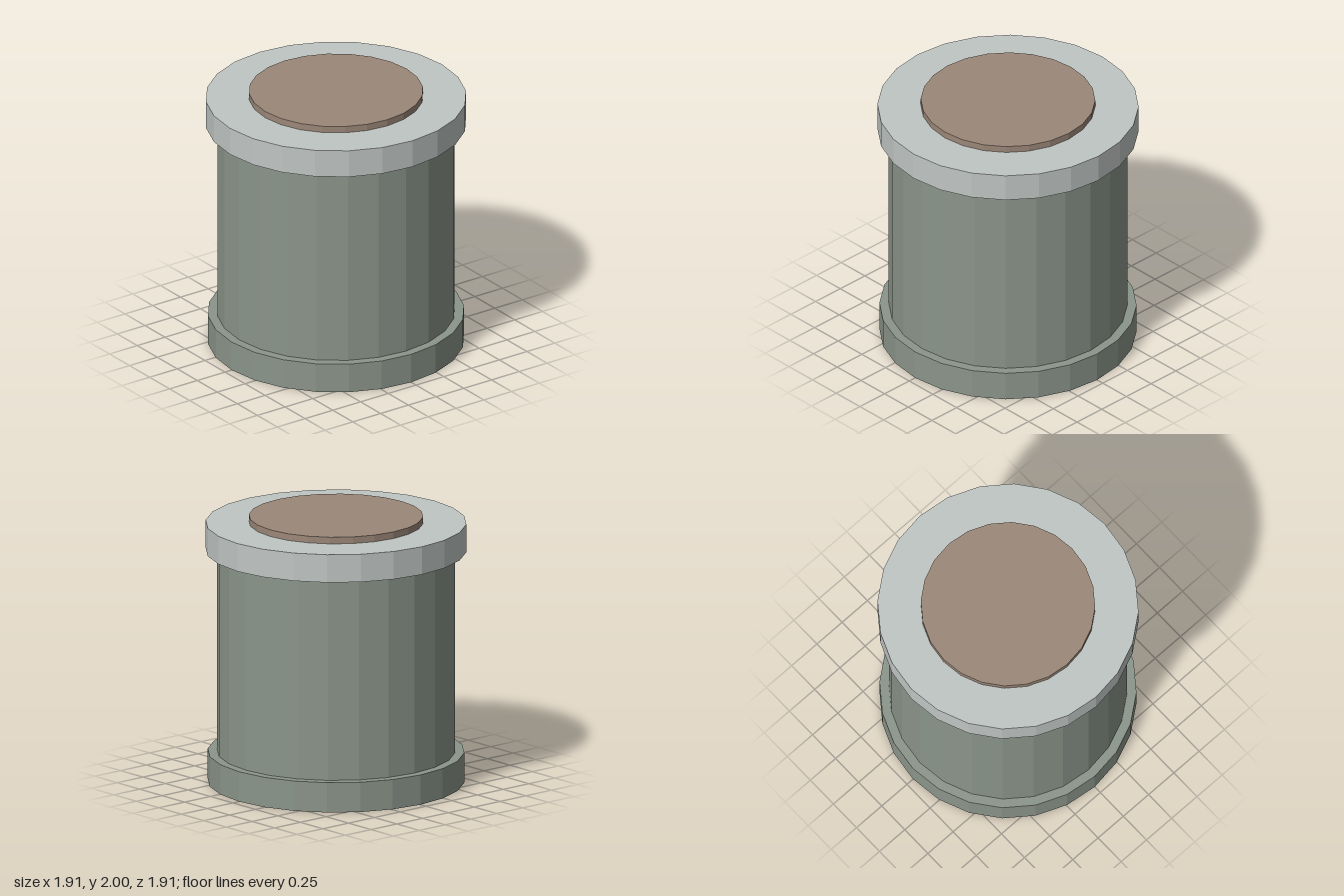
import * as THREE from 'three';

const SIDES = 24;

export function createModel() {
  const group = new THREE.Group();
  group.name = 'canister';

  const material = (name, color) => {
    const m = new THREE.MeshStandardMaterial({ color, flatShading: true });
    m.name = name;
    return m;
  };
  const greyGreen = material('grey green', 0x8b958b);
  const paleGrey = material('pale grey', 0xc0c6c4);
  const brown = material('brown', 0x9b8778);

  // Faceted disc or drum between two heights
  const drum = (name, radius, bottom, top, mat) => {
    const geometry = new THREE.CylinderGeometry(radius, radius, top - bottom, SIDES);
    const mesh = new THREE.Mesh(geometry, mat);
    mesh.name = name;
    mesh.position.y = (bottom + top) / 2;
    group.add(mesh);
  };

  drum('base', 0.94, 0, 0.225, greyGreen);
  drum('body', 0.872, 0.225, 1.74, greyGreen);
  drum('lidRim', 0.955, 1.74, 1.95, paleGrey);
  drum('topDisc', 0.638, 1.95, 2, brown);

  return group;
}
